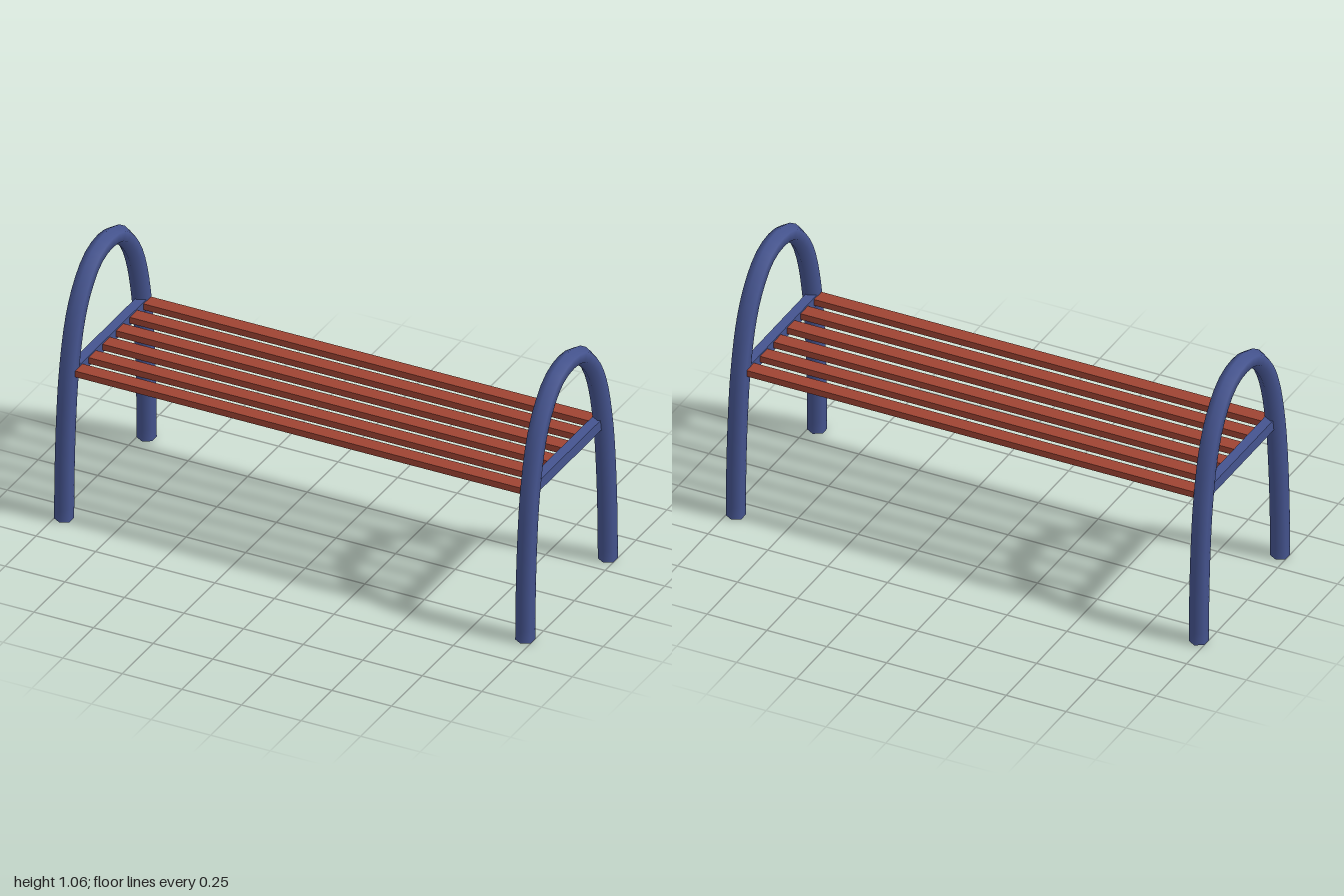
import * as THREE from 'three';

const SIDES = 6, RADIUS = 0.0375, STEPS = 48;

// Half of the arch centreline as [z, y], from foot to crown
const HALF = [[0.335, 0], [0.331, 0.2], [0.32, 0.4], [0.298, 0.6], [0.25, 0.8], [0.194, 0.91], [0.105, 0.998]];

// Six-sided tube swept along the arch, corners lying in the arch plane
function archGeometry() {
  const path = [...HALF, [0, 1.023], ...HALF.map(([z, y]) => [-z, y]).reverse()];
  const curve = new THREE.CatmullRomCurve3(path.map(([z, y]) => new THREE.Vector3(0, y, z)));
  const across = new THREE.Vector3(1, 0, 0);
  const pos = [], index = [];
  for (let i = 0; i <= STEPS; i++) {
    const p = curve.getPointAt(i / STEPS);
    const out = across.clone().cross(curve.getTangentAt(i / STEPS));
    if (i === 0 || i === STEPS) out.setY(0).normalize();
    for (let j = 0; j < SIDES; j++) {
      const a = (j / SIDES) * Math.PI * 2;
      const v = p.clone().addScaledVector(out, RADIUS * Math.cos(a)).addScaledVector(across, RADIUS * Math.sin(a));
      pos.push(v.x, v.y, v.z);
      if (i < STEPS) {
        const k = i * SIDES + j, n = i * SIDES + (j + 1) % SIDES;
        index.push(k, n, n + SIDES, k, n + SIDES, k + SIDES);
      }
    }
  }
  const geo = new THREE.BufferGeometry();
  geo.setAttribute('position', new THREE.Float32BufferAttribute(pos, 3));
  geo.setIndex(index);
  geo.computeVertexNormals();
  return geo;
}

export function createModel() {
  const bench = new THREE.Group();
  bench.name = 'bench';
  const blue = new THREE.MeshStandardMaterial({ name: 'blue paint', color: 0x45548f });
  const red = new THREE.MeshStandardMaterial({ name: 'red wood', color: 0x9e4433 });

  function add(parent, name, geo, mat, x, y, z) {
    const mesh = new THREE.Mesh(geo, mat);
    mesh.name = name;
    mesh.position.set(x, y, z);
    parent.add(mesh);
  }

  // End frames: arch, feet caps and seat support
  const arch = archGeometry();
  const cap = new THREE.CircleGeometry(RADIUS, SIDES, Math.PI / 2).rotateX(Math.PI / 2);
  const support = new THREE.BoxGeometry(0.04, 0.045, 0.54);
  for (const side of [1, -1]) {
    const frame = new THREE.Group();
    frame.name = side > 0 ? 'leftFrame' : 'rightFrame';
    add(frame, 'arch', arch, blue, side * 0.9675, 0, 0);
    for (const z of [0.335, -0.335]) add(frame, 'footCap', cap, blue, side * 0.9675, 0, z);
    add(frame, 'seatSupport', support, blue, side * 0.956, 0.6145, 0);
    bench.add(frame);
  }

  // Seat slats
  const slat = new THREE.BoxGeometry(1.89, 0.026, 0.06);
  for (let i = 0; i < 6; i++) add(bench, 'slat', slat, red, 0, 0.617, (i - 2.5) * 0.111);

  return bench;
}
